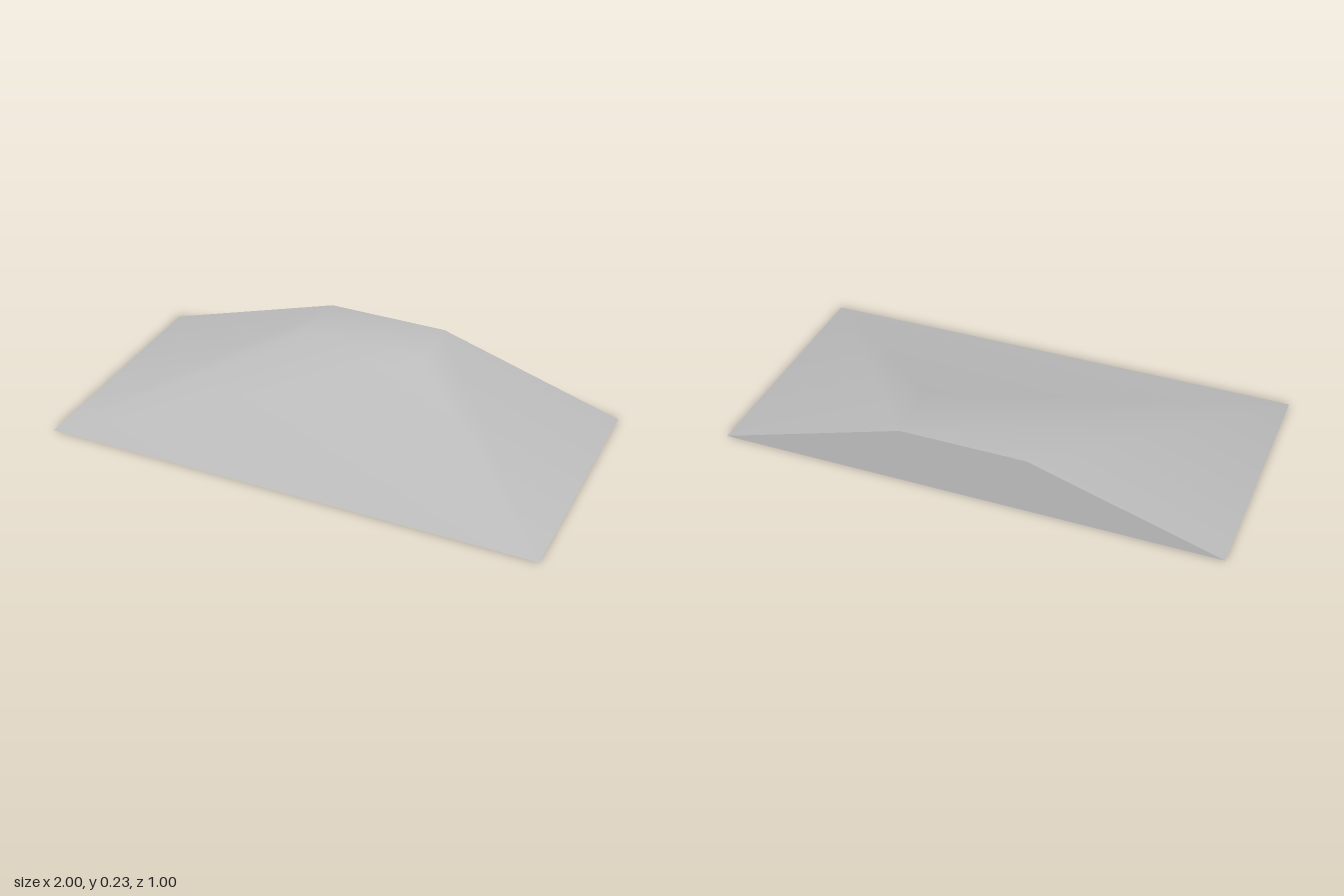
import * as THREE from 'three';

const HEIGHT = 0.23;

// Builds a mesh from quads; corners shared within one part are shaded smoothly.
function quadMesh(name, points, quads, material) {
  const geometry = new THREE.BufferGeometry();
  geometry.setAttribute('position', new THREE.Float32BufferAttribute(points.flat(), 3));
  geometry.setIndex(quads.flatMap(([a, b, c, d]) => [a, b, c, a, c, d]));
  geometry.computeVertexNormals();
  const mesh = new THREE.Mesh(geometry, material);
  mesh.name = name;
  return mesh;
}

export function createModel() {
  const concrete = new THREE.MeshStandardMaterial({ color: 0xbcbcbc });
  concrete.name = 'concrete grey';

  const corners = [
    // footprint: front left edge, front right edge, back right edge, back left edge
    [-1, 0, 0.5], [1, 0, 0.5], [1, 0, -0.5], [-1, 0, -0.5],
    // raised deck, same order
    [-0.25, HEIGHT, -0.25], [0.25, HEIGHT, -0.25], [0.25, HEIGHT, -0.5], [-0.25, HEIGHT, -0.5],
  ];

  const ramp = new THREE.Group();
  ramp.name = 'ramp';
  ramp.add(
    // front slope, two side slopes and the deck
    quadMesh('slopes', corners, [[0, 1, 5, 4], [1, 2, 6, 5], [0, 4, 7, 3], [4, 5, 6, 7]], concrete),
    quadMesh('backWall', corners, [[2, 3, 7, 6]], concrete),
    quadMesh('base', corners, [[0, 3, 2, 1]], concrete),
  );
  return ramp;
}
